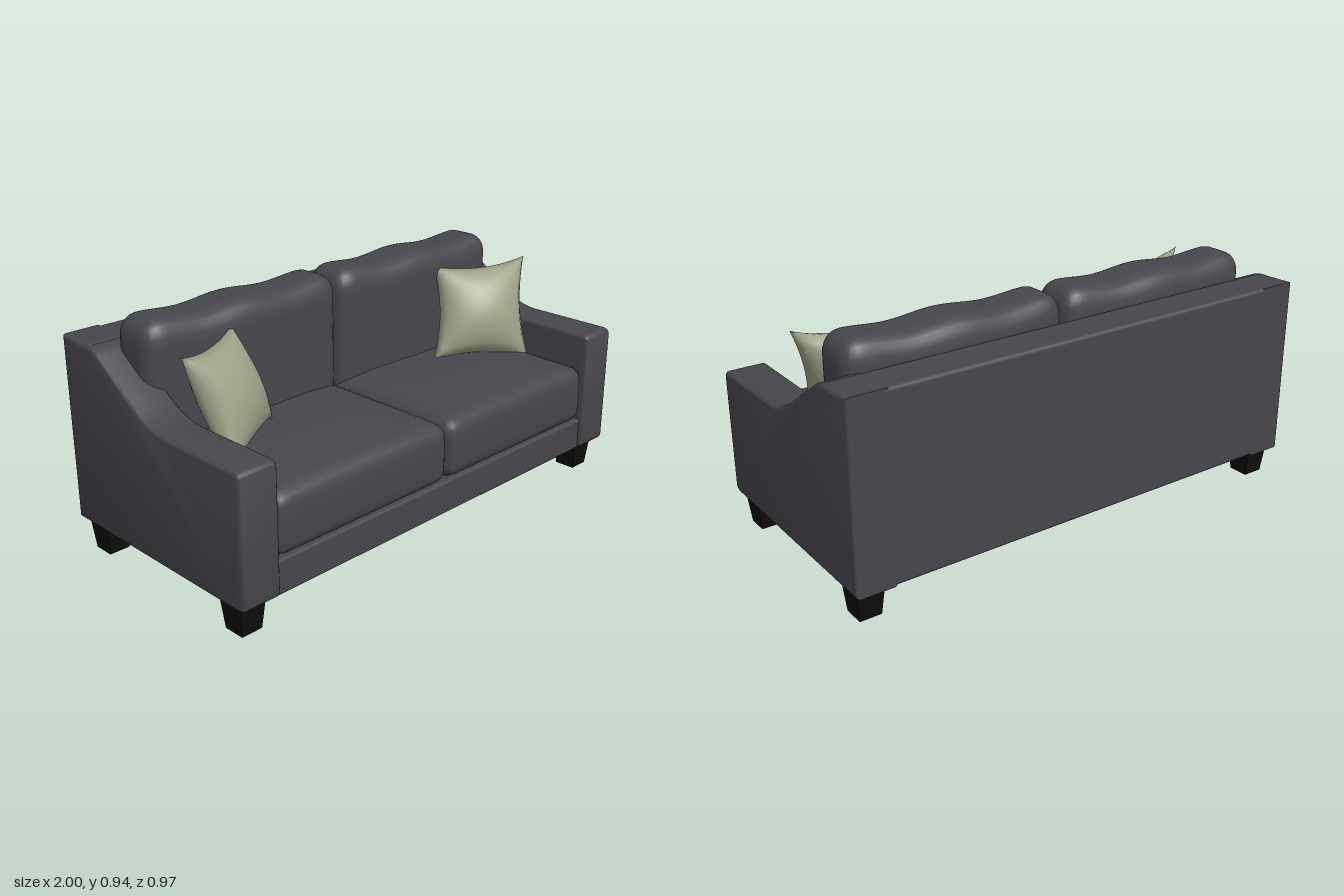
import * as THREE from 'three';
import { mergeGeometries, mergeVertices, toCreasedNormals } from 'three/addons/utils/BufferGeometryUtils.js';
import { RoundedBoxGeometry } from 'three/addons/geometries/RoundedBoxGeometry.js';

const fabric = new THREE.MeshStandardMaterial({ color: 0x47464c });
fabric.name = 'charcoal fabric';
const pillowFabric = new THREE.MeshStandardMaterial({ color: 0x9da288 });
pillowFabric.name = 'sage fabric';
const legWood = new THREE.MeshStandardMaterial({ color: 0x0d0d0d });
legWood.name = 'black wood';

// Weld a geometry and give it smooth normals
function smooth(geometry) {
  geometry.deleteAttribute('uv');
  geometry.deleteAttribute('normal');
  const welded = mergeVertices(geometry, 1e-5);
  welded.computeVertexNormals();
  return welded;
}

// Soft box between two corners; puff(p, u, v, w) shifts each vertex, u v w in -1..1
function cushionGeometry(min, max, radius, puff) {
  const size = max.clone().sub(min);
  const half = size.clone().multiplyScalar(0.5);
  const centre = min.clone().add(half);
  const inner = half.clone().subScalar(radius);
  const geometry = new THREE.BoxGeometry(size.x, size.y, size.z, 36, 18, 24);
  const pos = geometry.attributes.position;
  const p = new THREE.Vector3();
  for (let i = 0; i < pos.count; i++) {
    p.fromBufferAttribute(pos, i);
    const core = p.clone().clamp(inner.clone().negate(), inner);
    p.sub(core).normalize().multiplyScalar(radius).add(core);
    puff(p, p.x / half.x, p.y / half.y, p.z / half.z);
    p.add(centre);
    pos.setXYZ(i, p.x, p.y, p.z);
  }
  return smooth(geometry);
}

// Throw pillow stretched between four corners: top left, top right, bottom right, bottom left
function pillowGeometry([tl, tr, br, bl], thickness) {
  const normal = tr.clone().sub(bl).cross(tl.clone().sub(br)).normalize();
  const sides = [1, -1].map((side) => {
    const g = new THREE.PlaneGeometry(2, 2, 20, 20);
    const pos = g.attributes.position;
    for (let i = 0; i < pos.count; i++) {
      const x = pos.getX(i) * side, y = pos.getY(i);
      // edges pulled in between the corners
      const u = (x * (1 - 0.13 * (1 - y * y)) + 1) / 2;
      const v = (y * (1 - 0.13 * (1 - x * x)) + 1) / 2;
      const top = tl.clone().lerp(tr, u);
      const point = bl.clone().lerp(br, u).lerp(top, v);
      const bulge = Math.pow((1 - x * x) * (1 - y * y), 0.6);
      point.addScaledVector(normal, side * thickness * bulge);
      pos.setXYZ(i, point.x, point.y, point.z);
    }
    return g;
  });
  return smooth(mergeGeometries(sides));
}

// Side profile of an arm, drawn as (-z, y) and inset by the bevel
function armGeometry(width, bevel) {
  const b = bevel;
  const s = new THREE.Shape();
  s.moveTo(-0.485 + b, 0.15);
  s.lineTo(-0.485 + b, 0.6);
  s.quadraticCurveTo(-0.485 + b, 0.627 - b, -0.45, 0.627 - b);
  s.lineTo(-0.1, 0.627 - b);
  s.bezierCurveTo(-0.02, 0.63 - b, 0.03, 0.655 - b, 0.1, 0.702 - b);
  s.lineTo(0.27, 0.818 - b);
  s.quadraticCurveTo(0.3, 0.84 - b, 0.33, 0.841 - b);
  s.lineTo(0.485 - b, 0.846 - b);
  s.lineTo(0.485 - b, 0.122 + b);
  s.lineTo(-0.45, 0.122 + b);
  s.quadraticCurveTo(-0.485 + b, 0.122 + b, -0.485 + b, 0.15);
  const g = new THREE.ExtrudeGeometry(s, {
    depth: width - 2 * b, bevelSize: b, bevelThickness: b, bevelSegments: 3, curveSegments: 10,
  });
  g.translate(0, 0, b);
  g.rotateY(Math.PI / 2); // profile -z stays along depth, thickness runs along +x
  return toCreasedNormals(g, 0.6);
}

export function createModel() {
  const sofa = new THREE.Group();
  sofa.name = 'sofa';
  const add = (name, geometry, material, x = 0, y = 0, z = 0) => {
    const mesh = new THREE.Mesh(geometry, material);
    mesh.name = name;
    mesh.position.set(x, y, z);
    sofa.add(mesh);
    return mesh;
  };
  const box = (name, w, h, d, r, y, z) =>
    add(name, new RoundedBoxGeometry(w, h, d, 3, r), fabric, 0, y, z);

  // Frame
  box('backFrame', 1.99, 0.722, 0.165, 0.015, 0.484, -0.4025);
  box('baseRail', 1.7, 0.135, 0.86, 0.012, 0.1875, 0.04);
  box('underCover', 1.66, 0.02, 0.58, 0.005, 0.125, 0.04);

  const arm = armGeometry(0.16, 0.014);
  add('leftArm', arm, fabric, 0.84);
  add('rightArm', arm, fabric, -1.0);

  // Tapered square legs
  const leg = new THREE.CylinderGeometry(0.0555 * Math.SQRT2, 0.043 * Math.SQRT2, 0.13, 4).toNonIndexed();
  leg.rotateY(Math.PI / 4);
  leg.computeVertexNormals();

  for (const side of [1, -1]) {
    const label = side > 0 ? 'left' : 'right';
    const span = (x0, x1, y0, y1, z0, z1) => [
      new THREE.Vector3(side > 0 ? x0 : -x1, y0, z0),
      new THREE.Vector3(side > 0 ? x1 : -x0, y1, z1),
    ];

    // Seat cushion with a gentle crown
    add(label + 'SeatCushion', cushionGeometry(
      ...span(0.003, 0.842, 0.252, 0.488, -0.33, 0.48), 0.045,
      (p, u, v, w) => {
        if (v > 0) p.y += 0.026 * v * (1 - u ** 4) * (1 - 0.7 * w * w);
        p.z -= 0.01 * Math.max(w, 0) * v * v;
      }), fabric);

    // Back cushion with a wavy top edge
    add(label + 'BackCushion', cushionGeometry(
      ...span(0.004, 0.902, 0.4, 0.938, -0.323, -0.088), 0.075,
      (p, u, v, w) => {
        if (v > 0) p.y += 0.007 * v * Math.cos(u * 2.3 * Math.PI);
        p.z += 0.008 * w * Math.cos(u * Math.PI);
      }), fabric);

    // Throw pillow leaning in the corner
    const corner = (x, y, z) => new THREE.Vector3(side * x, y, z);
    const outerTop = corner(0.905, 0.878, 0.085), innerTop = corner(0.54, 0.865, -0.1);
    const innerBottom = corner(0.44, 0.505, 0.0), outerBottom = corner(0.81, 0.475, 0.21);
    add(label + 'Pillow', pillowGeometry(side > 0
      ? [innerTop, outerTop, outerBottom, innerBottom]
      : [outerTop, innerTop, innerBottom, outerBottom], 0.095), pillowFabric);

    add(label + 'FrontLeg', leg, legWood, side * 0.925, 0.065, 0.385);
    add(label + 'BackLeg', leg, legWood, side * 0.925, 0.065, -0.39);
  }
  return sofa;
}
